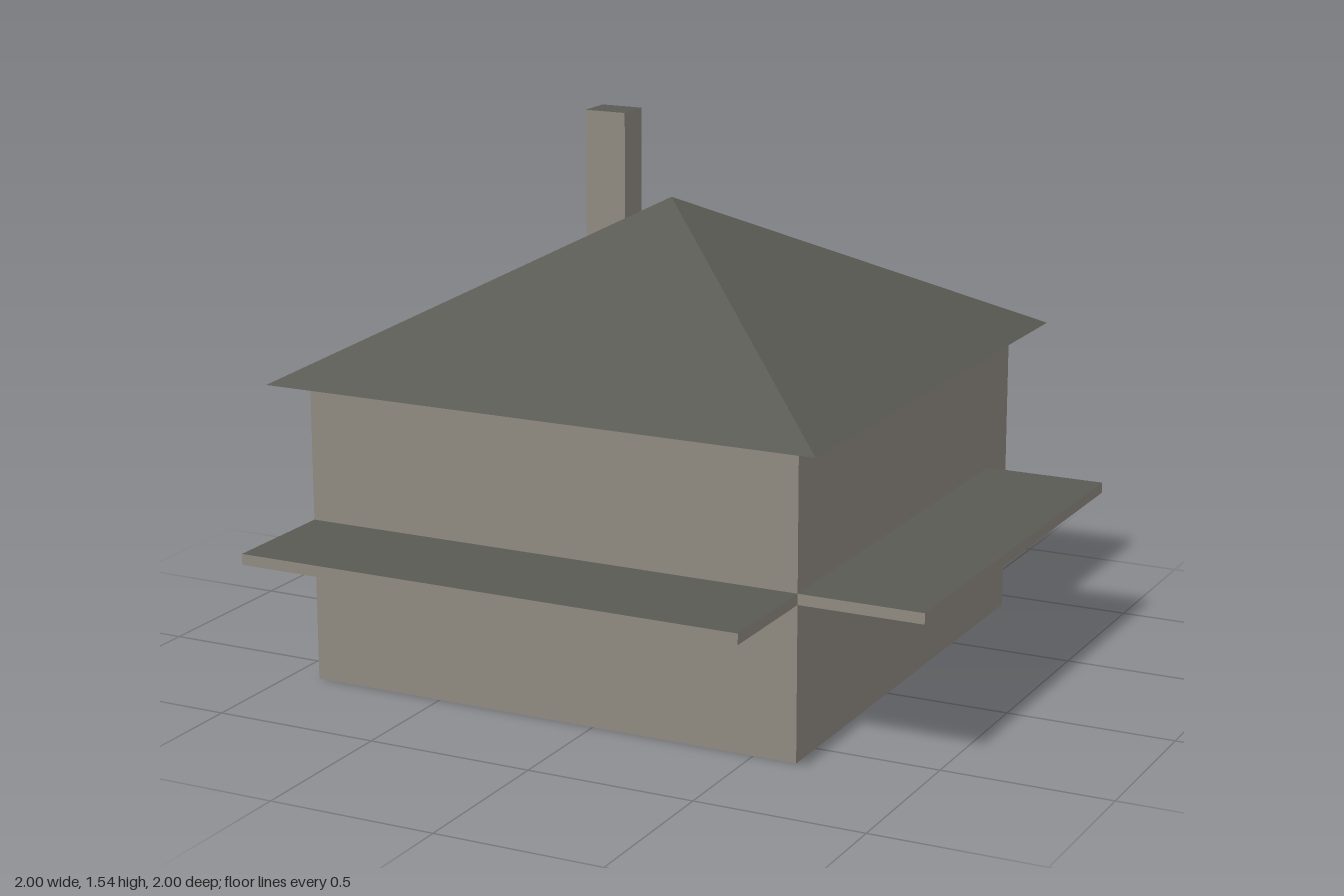
import * as THREE from 'three';

const wallMat = new THREE.MeshStandardMaterial({ color: 0x8f8980 });
wallMat.name = 'warm grey wall';
wallMat.side = THREE.DoubleSide;
wallMat.flatShading = true;
const roofMat = new THREE.MeshStandardMaterial({ color: 0x5a5a54 });
roofMat.name = 'dark slate';
roofMat.side = THREE.DoubleSide;
roofMat.flatShading = true;

// Centre of the house plan on both x and z
const C = -0.14;

// Open four-sided shell: half-widths at top and bottom, from y0 to y1
function squareShell(name, topHalf, bottomHalf, y0, y1, mat) {
  const g = new THREE.CylinderGeometry(
    topHalf * Math.SQRT2, bottomHalf * Math.SQRT2, y1 - y0, 4, 1, true);
  g.rotateY(Math.PI / 4);
  g.translate(C, (y0 + y1) / 2, C);
  const mesh = new THREE.Mesh(g, mat);
  mesh.name = name;
  return mesh;
}

// Box between two corners, with wall-coloured sides and slate top and bottom
function slab(name, [x0, y0, z0], [x1, y1, z1]) {
  const g = new THREE.BoxGeometry(x1 - x0, y1 - y0, z1 - z0);
  g.translate((x0 + x1) / 2, (y0 + y1) / 2, (z0 + z1) / 2);
  const mesh = new THREE.Mesh(g, [wallMat, wallMat, roofMat, roofMat, wallMat, wallMat]);
  mesh.name = name;
  return mesh;
}

export function createModel() {
  const house = new THREE.Group();
  house.name = 'house';
  house.add(
    // Hollow body, open underneath, with a pyramid roof overhanging it
    squareShell('walls', 0.77, 0.77, 0, 0.9, wallMat),
    squareShell('roof', 0, 0.86, 0.9, 1.37, roofMat),
    // Thin canopies along the front and the left side
    slab('frontCanopy', [-0.91, 0.455, 0.63], [0.63, 0.487, 1]),
    slab('sideCanopy', [0.63, 0.455, -0.755], [1, 0.487, 0.63]),
    // Chimney on the back hip of the roof
    slab('chimney', [-0.61, 1.11, -0.595], [-0.475, 1.54, -0.485])
  );
  return house;
}
